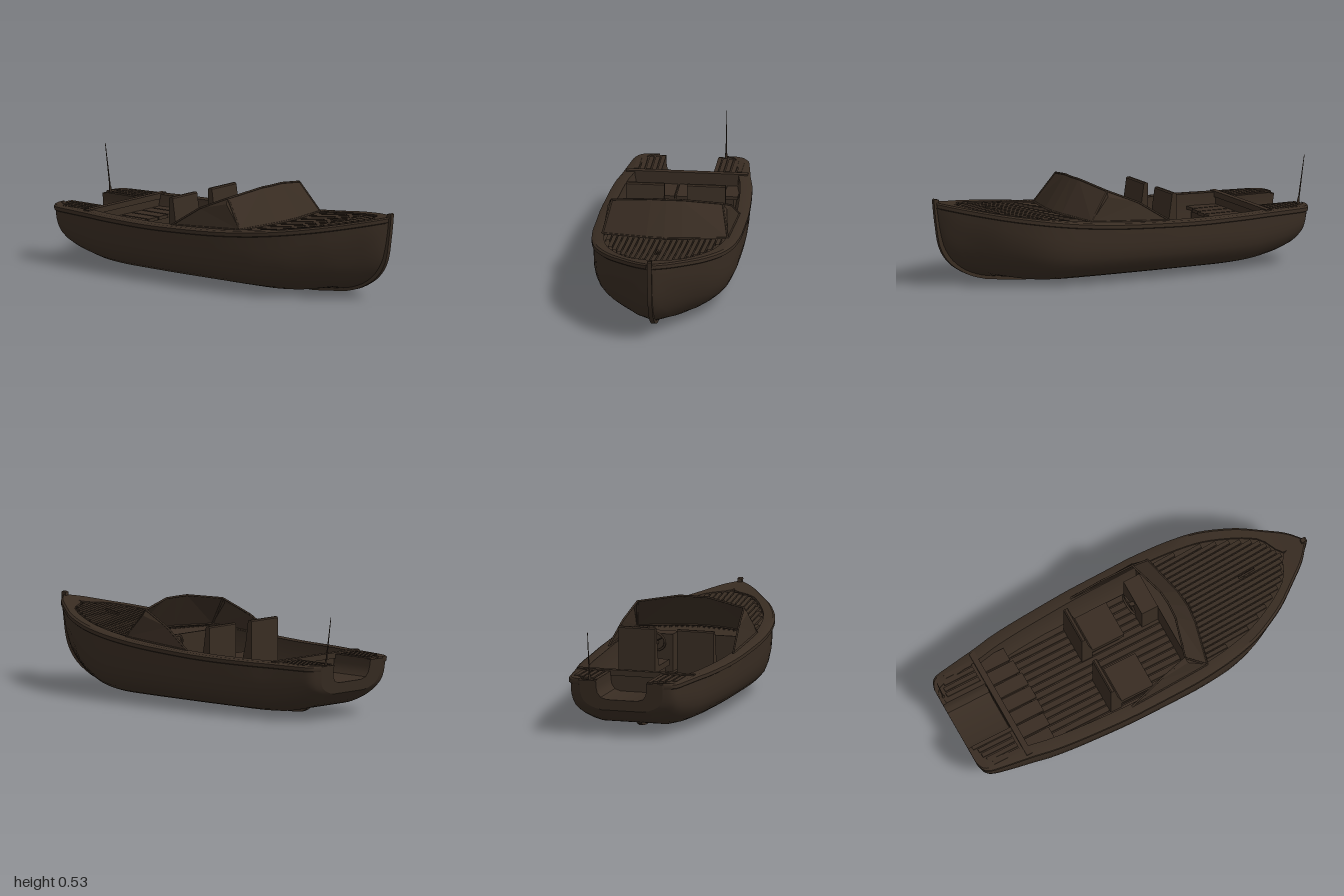
import * as THREE from 'three';
import { toCreasedNormals } from 'three/addons/utils/BufferGeometryUtils.js';

const mat = new THREE.MeshStandardMaterial({ color: 0x382c22, side: THREE.DoubleSide });

// Smooth interpolation through [x, value] pairs without overshoot
function curve(pts) {
  const d = pts.slice(1).map((p, i) => (p[1] - pts[i][1]) / (p[0] - pts[i][0]));
  const n = d.length;
  const m = pts.map((_, i) => {
    if (i === 0) return d[0];
    if (i === n) return d[n - 1];
    return d[i - 1] * d[i] <= 0 ? 0 : (2 * d[i - 1] * d[i]) / (d[i - 1] + d[i]);
  });
  return (x) => {
    let i = 0;
    while (i < n - 1 && x > pts[i + 1][0]) i++;
    const h = pts[i + 1][0] - pts[i][0], t = THREE.MathUtils.clamp((x - pts[i][0]) / h, 0, 1);
    const t2 = t * t, t3 = t2 * t;
    return (2 * t3 - 3 * t2 + 1) * pts[i][1] + (t3 - 2 * t2 + t) * h * m[i]
      + (3 * t2 - 2 * t3) * pts[i + 1][1] + (t3 - t2) * h * m[i + 1];
  };
}

// Hull lines: half beam, sheer height, bottom height
const STERN = -0.985, BOW = 0.985, FLOOR = 0.12;
const beam = curve([[-0.985, 0.22], [-0.97, 0.26], [-0.94, 0.28], [-0.85, 0.295], [-0.7, 0.317], [-0.6, 0.335], [-0.4, 0.353],
  [-0.1, 0.366], [0.15, 0.366], [0.3, 0.358], [0.5, 0.328], [0.7, 0.247], [0.85, 0.142], [0.93, 0.078], [0.985, 0.012]]);
const sheer = curve([[-0.985, 0.285], [-0.4, 0.285], [0, 0.298], [0.3, 0.32], [0.6, 0.358], [0.8, 0.39], [0.985, 0.426]]);
const bottom = curve([[-0.985, 0.135], [-0.96, 0.12], [-0.9, 0.085], [-0.8, 0.05], [-0.65, 0.025], [-0.5, 0.02], [0.5, 0.02],
  [0.7, 0.035], [0.8, 0.062], [0.88, 0.11], [0.94, 0.19], [0.965, 0.28], [0.985, 0.4]]);
// Inner edge of the side deck, closing to a solid breasthook at the bow
const coaming = (x) => Math.max(beam(x) - 0.055, 0) * (1 - THREE.MathUtils.smoothstep(x, 0.8, 0.88));
// The transom leans forward toward the keel
const rake = (x, y) => x + 0.025 * ((sheer(x) - y) / 0.15) * THREE.MathUtils.clamp((-0.9 - x) / 0.085, 0, 1);

// Stations, crowded toward both ends
function stations(a, b, n) {
  return Array.from({ length: n + 1 }, (_, i) => a + (b - a) * (0.5 - 0.5 * Math.cos((Math.PI * i) / n)));
}

// Skin over [z, y] cross-sections
function loft(xs, section, closed = false, crease = 0.6) {
  const pos = [], idx = [], n = section(xs[0]).length;
  xs.forEach((x) => section(x).forEach(([z, y]) => pos.push(rake(x, y), y, z)));
  for (let i = 0; i < xs.length - 1; i++)
    for (let j = 0; j < (closed ? n : n - 1); j++) {
      const a = i * n + j, b = i * n + ((j + 1) % n);
      idx.push(a, a + n, b, b, a + n, b + n);
    }
  const g = new THREE.BufferGeometry();
  g.setAttribute('position', new THREE.Float32BufferAttribute(pos, 3));
  g.setIndex(idx);
  return toCreasedNormals(g, crease);
}
const mirrored = (half) => [...half.slice(1).reverse().map(([z, y]) => [-z, y]), ...half];

// Half cross-sections, from the centre outward
const full = [[0, 0], [0.25, 0], [0.5, 0], [0.65, 0.05], [0.78, 0.125], [0.86, 0.195], [0.92, 0.275], [0.97, 0.41], [0.995, 0.56], [1, 0.72], [1, 1]];
const vee = [0, 0.15, 0.3, 0.42, 0.53, 0.62, 0.7, 0.79, 0.88, 0.94, 1];
function hullHalf(x) {
  const t = THREE.MathUtils.smoothstep(x, 0.35, 0.98), b = bottom(x), h = sheer(x) - b;
  return full.map(([u, v], i) => [(beam(x) - 0.004) * (u + (vee[i] - u) * t), b + h * (v + (i / 10 - v) * t * 0.6)]);
}
const wellHalf = (x) => [[0, 0.19], [0.08, 0.19], [0.11, 0.2], [0.126, 0.222], [0.131, 0.25], [0.131, sheer(x)], [beam(x), sheer(x)]];

export function createModel() {
  const boat = new THREE.Group();
  const add = (name, geo, x = 0, y = 0, z = 0) => {
    const mesh = new THREE.Mesh(geo, mat);
    mesh.name = name;
    mesh.position.set(x, y, z);
    boat.add(mesh);
    return mesh;
  };
  const box = (name, x0, x1, y0, y1, z0, z1) =>
    add(name, new THREE.BoxGeometry(x1 - x0, y1 - y0, z1 - z0), (x0 + x1) / 2, (y0 + y1) / 2, (z0 + z1) / 2);
  const rod = (name, a, b, r0, r1 = r0) => {
    const p = new THREE.Vector3(...a), dir = new THREE.Vector3(...b).sub(p);
    const m = add(name, new THREE.CylinderGeometry(r1, r0, dir.length(), 8));
    m.position.copy(p).addScaledVector(dir, 0.5);
    m.quaternion.setFromUnitVectors(new THREE.Vector3(0, 1, 0), dir.normalize());
  };

  // Hull, transom with motor cutout, and stern well
  add('hull', loft(stations(STERN, BOW, 64), (x) => mirrored(hullHalf(x)), false, 0.8));
  const outline = [...mirrored(hullHalf(STERN)), ...mirrored(wellHalf(STERN)).reverse()];
  const transom = new THREE.ShapeGeometry(new THREE.Shape(outline.map((p) => new THREE.Vector2(...p))));
  const tp = transom.attributes.position;
  for (let i = 0; i < tp.count; i++) tp.setXYZ(i, rake(STERN, tp.getY(i)), tp.getY(i), tp.getX(i));
  transom.computeVertexNormals();
  add('transom', transom);
  add('sternWell', loft(stations(STERN, -0.72, 16), (x) => mirrored(wellHalf(x))));

  // Keel running up into the stem post
  const keel = new THREE.Shape();
  keel.moveTo(-0.68, 0.02);
  [[-0.65, 0.006], [-0.6, 0], [0.5, 0], [0.7, 0.02]].forEach((p) => keel.lineTo(...p));
  keel.splineThru([[0.8, 0.05], [0.9, 0.112], [0.96, 0.2], [0.985, 0.33], [0.998, 0.445]].map((p) => new THREE.Vector2(...p)));
  [[0.99, 0.45], [0.97, 0.445], [0.965, 0.4], [0.93, 0.22], [0.87, 0.14], [0.7, 0.06], [0.5, 0.04], [-0.68, 0.04]].forEach((p) => keel.lineTo(...p));
  add('keelAndStem', new THREE.ExtrudeGeometry(keel, { depth: 0.022, bevelEnabled: false }), 0, 0, -0.011);

  // Gunwales and side decks
  for (const s of [-1, 1])
    add('gunwale', loft(stations(STERN, BOW, 64), (x) => {
      const w = beam(x), y = sheer(x), inner = coaming(x);
      return [[w, y - 0.024], [w + 0.006, y - 0.02], [w + 0.006, y - 0.002], [Math.max(w - 0.006, 0), y + 0.006], [inner, y + 0.006], [inner, y - 0.02]]
        .map(([z, h]) => [s * z, h]);
    }, true));

  // Recessed foredeck with laid planks
  add('foredeck', loft(stations(0.2, BOW, 32), (x) => [-1, 0, 1].map((u) => [u * Math.max(beam(x) - 0.03, 0), sheer(x) - 0.008])));
  for (let i = -10; i <= 10; i++) {
    const z = i * 0.0275, start = 0.34 - 0.2 * Math.abs(z);
    let end = 0.86;
    while (coaming(end) < Math.abs(z) + 0.016 && end > start + 0.03) end -= 0.005;
    add('foredeckPlank', loft(stations(start, end, 14), (x) => {
      const y = sheer(x), a = z - 0.0105, b = z + 0.0105;
      return [[a, y - 0.012], [a, y + 0.004], [b, y + 0.004], [b, y - 0.012]];
    }, true));
  }

  // Cockpit lining, bulkheads and floor planks
  add('cockpitLining', loft(stations(-0.72, 0.21, 24), (x) => mirrored([[0, FLOOR], [coaming(x) - 0.035, FLOOR], [coaming(x) - 0.01, FLOOR + 0.04], [coaming(x), sheer(x)]])));
  box('forwardBulkhead', 0.2, 0.21, FLOOR, 0.31, -0.31, 0.31);
  box('aftBulkhead', -0.735, -0.72, FLOOR, 0.28, -0.26, 0.26);
  box('crossbeam', -0.745, -0.715, 0.268, 0.297, -0.305, 0.305);
  for (let i = -7; i <= 7; i++) box('floorPlank', -0.56, 0.2, FLOOR, FLOOR + 0.01, i * 0.037 - 0.0145, i * 0.037 + 0.0145);

  // Slatted stern bench with a curved front edge
  box('benchBase', -0.72, -0.58, FLOOR, 0.215, -0.25, 0.25);
  for (let i = -3; i <= 3; i++)
    box('benchSlat', -0.72, -0.545 - 0.0025 * i * i, 0.215, 0.232, i * 0.079 - 0.035, i * 0.079 + 0.035);

  for (const s of [-1, 1]) {
    // Planked locker tops beside the well
    for (let i = 0; i < 4; i++)
      box('lockerPlank', -0.945 + 0.004 * i * i, -0.76, 0.275, 0.293, s * (0.168 + i * 0.03) - 0.011, s * (0.168 + i * 0.03) + 0.011);
    box('lockerRim', -0.965, -0.745, 0.275, 0.29, s * 0.141 - 0.01, s * 0.141 + 0.01);

    // Seat with a tapering backrest
    const z = s * 0.153;
    box('seatBase', -0.2, -0.02, FLOOR, 0.185, z - 0.08, z + 0.08);
    box('seatCushion', -0.215, 0, 0.185, 0.215, z - 0.096, z + 0.096);
    const back = new THREE.Shape([[-0.24, FLOOR], [-0.178, FLOOR], [-0.178, 0.215], [-0.2, 0.3], [-0.216, 0.41], [-0.222, 0.416], [-0.234, 0.416], [-0.24, 0.41]].map((p) => new THREE.Vector2(...p)));
    add('seatBack', new THREE.ExtrudeGeometry(back, { depth: 0.192, bevelEnabled: false }), 0, 0, z - 0.096);

    // Windshield: front panes, corner strip and bowed side pane
    const topMid = [0.222, 0.496, 0], topBend = [0.218, 0.496, s * 0.075], topCorner = [0.165, 0.465, s * 0.278];
    const shoulder = [0.17, 0.438, s * 0.298], baseMid = [0.33, 0.33, 0], baseBend = [0.322, 0.329, s * 0.09];
    const baseCorner = [0.27, 0.322, s * 0.314], bow = [0, 0.397, s * 0.302], tail = [-0.16, 0.296, s * 0.325];
    const panes = [[topMid, topBend, baseBend, baseMid], [topBend, topCorner, baseCorner, baseBend], [topCorner, shoulder, baseCorner],
      [baseCorner, shoulder, bow, tail], [topCorner, bow, shoulder]];
    for (const pane of panes) {
      const g = new THREE.BufferGeometry();
      const tris = pane.slice(2).flatMap((p, i) => (s > 0 ? [pane[0], p, pane[i + 1]] : [pane[0], pane[i + 1], p]));
      g.setAttribute('position', new THREE.Float32BufferAttribute(tris.flat(), 3));
      g.computeVertexNormals();
      add('windshieldPane', g);
    }
    const frame = [baseMid, baseBend, baseCorner, tail, bow, topCorner, topBend, topMid];
    frame.slice(1).forEach((p, i) => rod('windshieldFrame', frame[i], p, 0.005));
    rod('windshieldFrame', topCorner, baseCorner, 0.005);
  }

  // Helm console, steering wheel and column
  box('helmConsole', 0.11, 0.2, FLOOR, 0.32, -0.27, -0.075);
  const wheel = add('steeringWheel', new THREE.TorusGeometry(0.052, 0.006, 8, 28), 0.082, 0.285, -0.16);
  wheel.rotation.set(0, Math.PI / 2, 0.35, 'ZYX');
  for (const a of [0.5, 2.6, 4.71]) {
    const c = 0.052 * Math.cos(a), h = 0.052 * Math.sin(a);
    rod('wheelSpoke', [0.086, 0.285, -0.16], [0.082 - 0.35 * h, 0.285 + 0.93 * h, -0.16 + c], 0.004);
  }
  rod('steeringColumn', [0.08, 0.287, -0.16], [0.125, 0.27, -0.16], 0.012);

  // Bow cleat and stern antenna
  for (const x of [0.645, 0.675]) rod('cleatPost', [x, sheer(x), 0], [x, sheer(x) + 0.01, 0], 0.008);
  rod('cleatBar', [0.615, sheer(0.615) + 0.011, 0], [0.705, sheer(0.705) + 0.011, 0], 0.005);
  rod('antennaBase', [-0.962, 0.28, -0.17], [-0.966, 0.315, -0.17], 0.008, 0.005);
  rod('antenna', [-0.965, 0.3, -0.17], [-0.998, 0.53, -0.17], 0.004, 0.0015);
  return boat;
}
